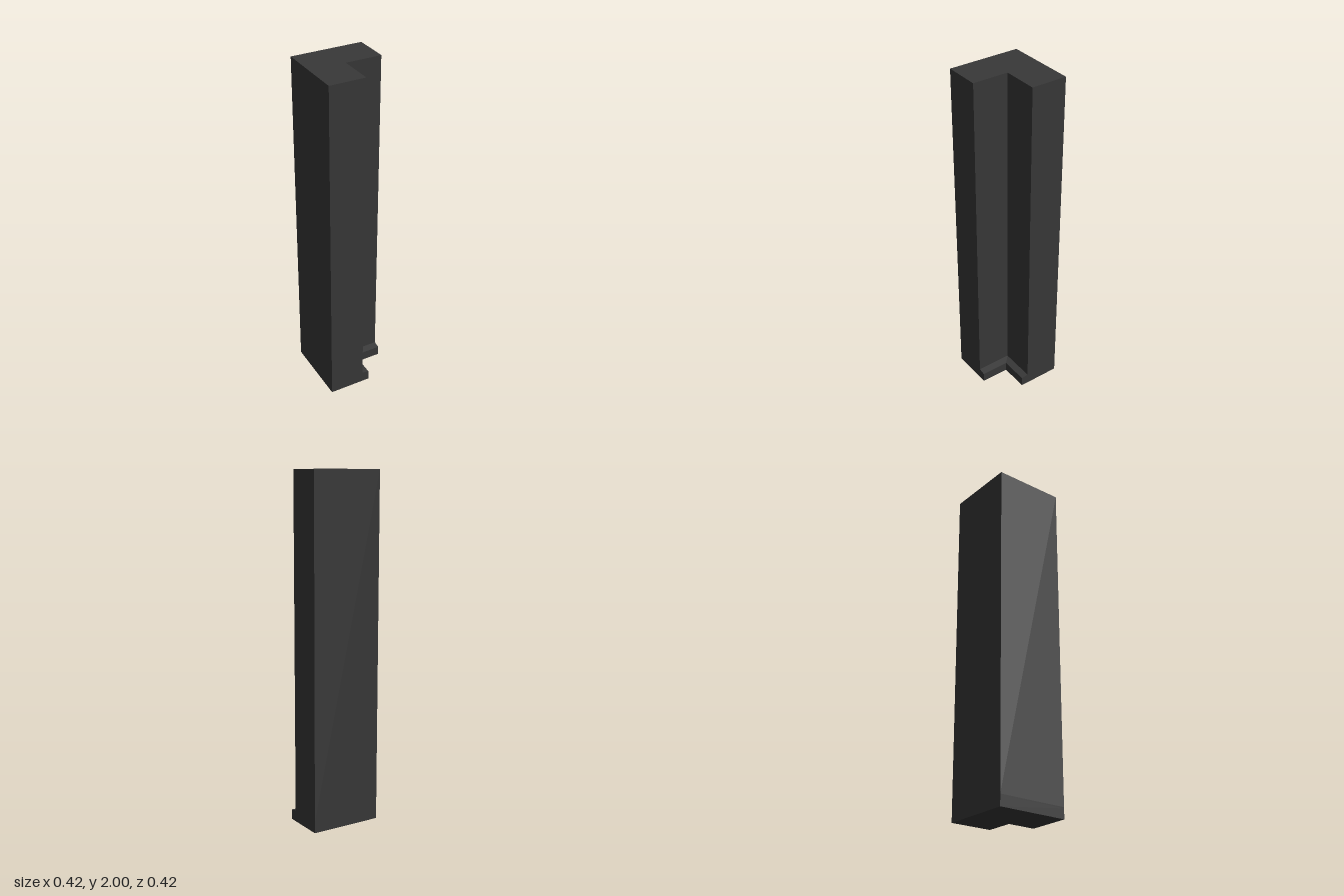
import * as THREE from 'three';

const HALF = 0.21;

// L-shaped section at height y; c is where the notch corner sits on x and z
function section(y, c) {
  return [
    [-HALF, y, HALF], [c, y, HALF], [c, y, c],
    [HALF, y, c], [HALF, y, -HALF], [-HALF, y, -HALF],
  ];
}

// Joins the sections into a closed solid with hard edges
function loft(rings) {
  const pos = [];
  const tri = (a, b, c) => pos.push(...a, ...b, ...c);
  for (let k = 0; k < rings.length - 1; k++) {
    const lo = rings[k], hi = rings[k + 1];
    for (let i = 0; i < lo.length; i++) {
      const j = (i + 1) % lo.length;
      tri(lo[i], lo[j], hi[j]);
      tri(lo[i], hi[j], hi[i]);
    }
  }
  // caps fan out from the notch corner
  const bottom = rings[0], top = rings[rings.length - 1];
  for (let n = 0; n < 4; n++) {
    const i = (3 + n) % 6, j = (4 + n) % 6;
    tri(top[2], top[i], top[j]);
    tri(bottom[2], bottom[j], bottom[i]);
  }
  const geometry = new THREE.BufferGeometry();
  geometry.setAttribute('position', new THREE.Float32BufferAttribute(pos, 3));
  geometry.computeVertexNormals();
  return geometry;
}

export function createModel() {
  const group = new THREE.Group();
  group.name = 'cornerColumn';
  const material = new THREE.MeshStandardMaterial({ color: 0x383838, flatShading: true });

  // L-shaped corner post with a low, slightly sloped skirting ledge in the notch
  const post = new THREE.Mesh(loft([
    section(0, 0.042),
    section(0.058, 0.042),
    section(0.065, 0),
    section(2, 0),
  ]), material);
  post.name = 'cornerPostWithSkirting';
  group.add(post);
  return group;
}
